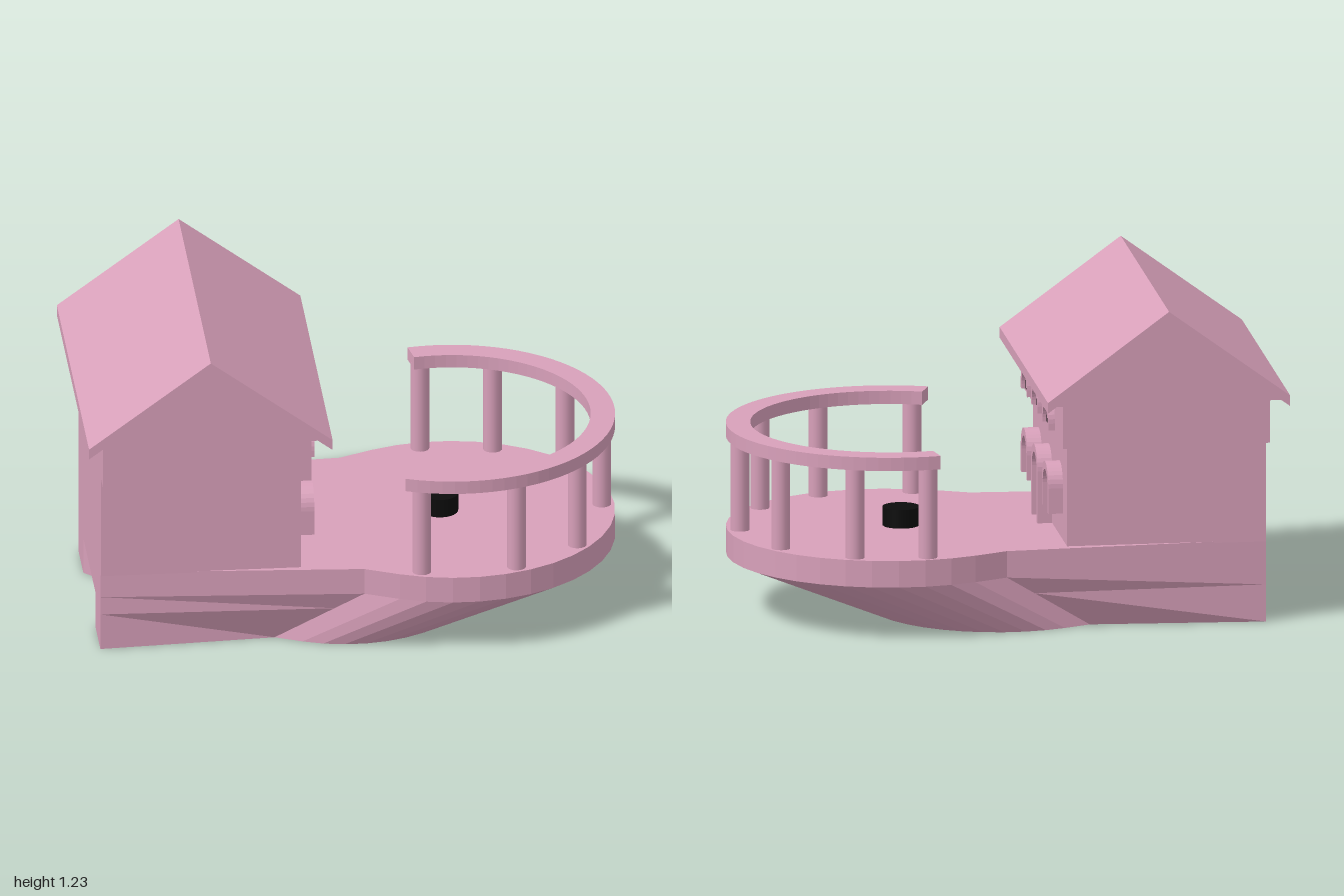
import * as THREE from 'three';

const pink = new THREE.MeshStandardMaterial({ color: 0xd8a0ba });
const black = new THREE.MeshStandardMaterial({ color: 0x0c0c0c });
const CX = 0.4, CZ = 0.012, R = 0.6; // round deck centre and radius

export function createModel() {
  const model = new THREE.Group();

  const add = (name, geometry, material = pink, parent = model) => {
    const mesh = new THREE.Mesh(geometry, material);
    mesh.name = name;
    parent.add(mesh);
    return mesh;
  };
  const polygon = (pts) => new THREE.Shape(pts.map(([x, y]) => new THREE.Vector2(x, y)));
  const extrude = (shape, depth, curveSegments = 12) =>
    new THREE.ExtrudeGeometry(shape, { depth, bevelEnabled: false, curveSegments });
  // plan shape (x, -z) raised from y0 to y1
  const slab = (shape, y0, y1, segments) =>
    extrude(shape, y1 - y0, segments).rotateX(-Math.PI / 2).translate(0, y0, CZ);

  // Deck outline: narrow tail under the house, opening into a round terrace
  const plan = [[-0.94, -0.43], [0.03, -0.49]];
  const start = THREE.MathUtils.degToRad(114), steps = 24;
  for (let i = 0; i <= steps; i++) {
    const a = -start + (2 * start * i) / steps;
    plan.push([CX + R * Math.cos(a), R * Math.sin(a)]);
  }
  plan.push([0.03, 0.49], [-0.94, 0.43]);
  const notched = [...plan, [-0.94, 0.24], [-0.68, 0], [-0.94, -0.24]];

  // Hull: terrace part shrinks and slides back towards the ground
  const hullTop = 0.21;
  const taper = (geometry) => {
    const p = geometry.attributes.position;
    for (let i = 0; i < p.count; i++) {
      const x = p.getX(i), z = p.getZ(i) - CZ;
      if (x < 0) continue;
      const f = 1 - p.getY(i) / hullTop;
      p.setX(i, THREE.MathUtils.lerp(x, (x - CX) * 0.79, f));
      p.setZ(i, CZ + z * (1 - 0.21 * f));
    }
    geometry.computeVertexNormals();
    return geometry;
  };
  add('deckRim', slab(polygon(plan), hullTop, 0.31));
  add('upperHull', taper(slab(polygon(plan), 0.14, hullTop)));
  add('lowerHull', taper(slab(polygon(notched), 0, 0.14)));

  // House: lower floor, then wider upper floor with gable and eaves
  add('lowerFloor', new THREE.BoxGeometry(0.74, 0.40, 0.894)).position.set(-0.57, 0.505, 0.017);
  const upper = polygon([
    [-0.94, 0.70], [-0.17, 0.70], [-0.17, 0.86], [-0.105, 0.86],
    [-0.55, 1.19], [-0.995, 0.86], [-0.94, 0.86],
  ]);
  add('upperFloor', extrude(upper, 1.08).translate(0, 0, -0.53));
  const roof = polygon([
    [-1, 0.86], [-0.55, 1.19], [-0.1, 0.86], [-0.1, 0.90], [-0.55, 1.23], [-1, 0.90],
  ]);
  add('roof', extrude(roof, 1.272).translate(0, 0, -0.636));

  // Arched openings on the terrace side
  const arch = (halfWidth, top) => {
    const s = new THREE.Shape();
    s.moveTo(-halfWidth, 0);
    s.lineTo(halfWidth, 0);
    s.lineTo(halfWidth, top - halfWidth);
    s.absarc(0, top - halfWidth, halfWidth, 0, Math.PI, false);
    s.lineTo(-halfWidth, 0);
    return s;
  };
  const archFrame = (height) => {
    const w = 0.085, g = 0.0625, inner = height - 0.03;
    const s = new THREE.Shape();
    s.moveTo(g, 0);
    s.lineTo(w, 0);
    s.lineTo(w, height - w);
    s.absarc(0, height - w, w, 0, Math.PI, false);
    s.lineTo(-w, 0);
    s.lineTo(-g, 0);
    s.lineTo(-g, inner - g);
    s.absarc(0, inner - g, g, Math.PI, 0, true);
    s.lineTo(g, 0);
    return s;
  };
  const opening = (name, wallX, y, z, height) => {
    const group = new THREE.Group();
    group.name = name;
    add('frame', extrude(archFrame(height), -0.145 - wallX + 0.01, 8).translate(0, 0, -0.01), pink, group);
    add('pane', extrude(arch(0.0625, height - 0.03), 0.02, 8).translate(0, 0, -0.01), black, group);
    group.rotation.y = Math.PI / 2;
    group.position.set(wallX, y, z);
    model.add(group);
  };
  for (const z of [0.315, 0.045, -0.24]) {
    opening('upperWindow', -0.17, 0.725, z, 0.11);
    if (z === 0.045) opening('door', -0.2, 0.31, z, 0.28);
    else opening('lowerWindow', -0.2, 0.41, z, 0.18);
  }

  // Curved rail on columns round the terrace
  const rail = new THREE.Shape();
  const a0 = THREE.MathUtils.degToRad(-112), a1 = THREE.MathUtils.degToRad(100.5);
  rail.absarc(CX, 0, R, a0, a1, false);
  rail.absarc(CX, 0, 0.51, a1, a0, true);
  add('rail', slab(rail, 0.65, 0.70, 24));
  for (const deg of [107, 70, 39, 0, -36, -69, -97]) {
    const a = THREE.MathUtils.degToRad(deg);
    add('column', new THREE.CylinderGeometry(0.035, 0.035, 0.36, 16))
      .position.set(CX + 0.553 * Math.cos(a), 0.48, CZ + 0.553 * Math.sin(a));
  }

  // Fire pit on the terrace
  add('firePit', new THREE.CylinderGeometry(0.068, 0.068, 0.08, 24), black).position.set(0.355, 0.34, 0.01);

  return model;
}
